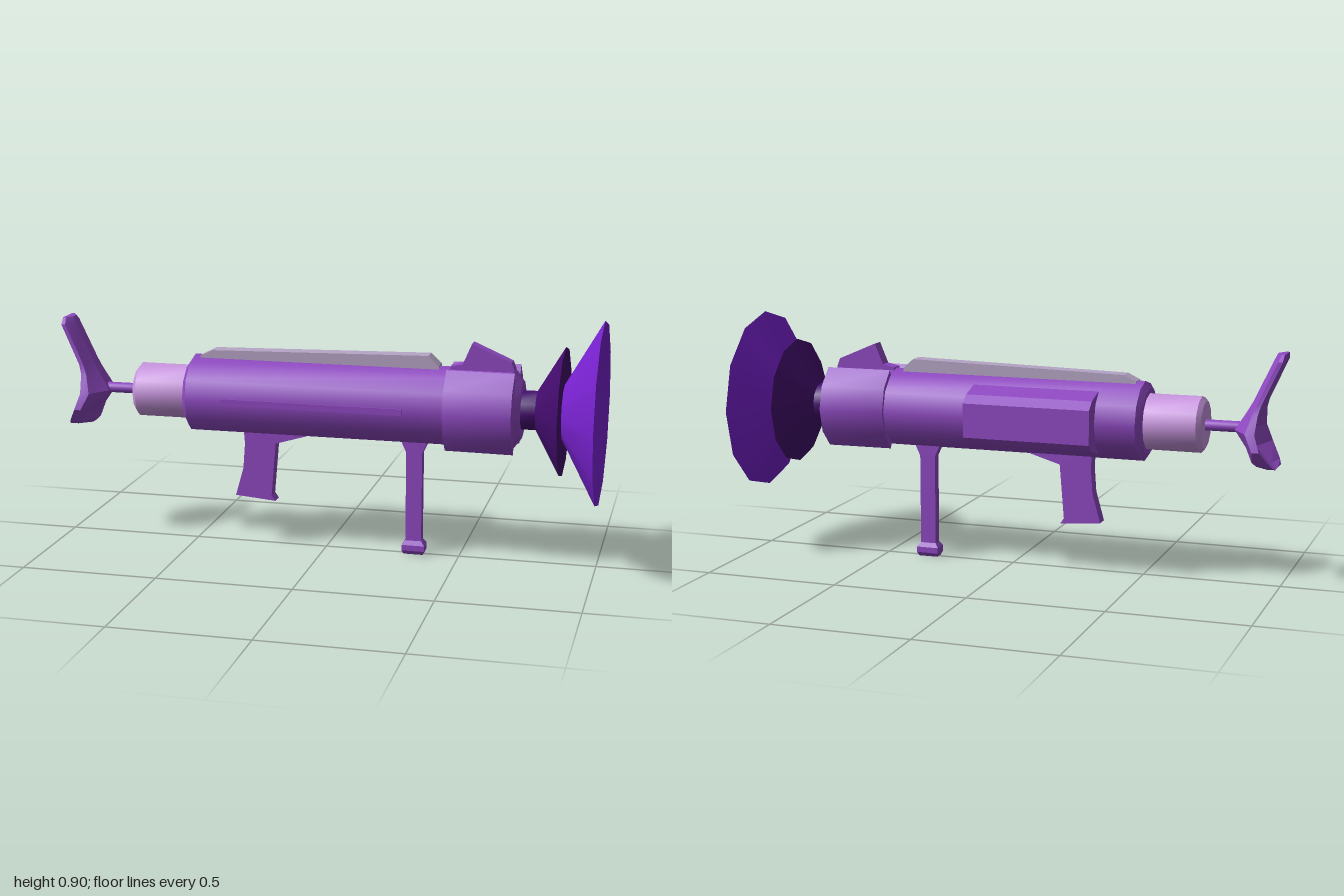
import * as THREE from 'three';
import { toCreasedNormals } from 'three/addons/utils/BufferGeometryUtils.js';

const AXIS_Y = 0.565;

export function createModel() {
  const model = new THREE.Group();
  model.name = 'launcher';

  const material = (name, color) => {
    const m = new THREE.MeshStandardMaterial({ color });
    m.name = name;
    return m;
  };
  const purple = material('body purple', 0x8f49c2);
  const violet = material('bell violet', 0x7a22d2);
  const indigo = material('dark indigo', 0x440c6e);
  const pink = material('pale orchid', 0xc996e0);
  const grey = material('lavender grey', 0xb6a5c6);

  const add = (name, geometry, mat, crease = 0.6) => {
    const mesh = new THREE.Mesh(toCreasedNormals(geometry, crease), mat);
    mesh.name = name;
    model.add(mesh);
    return mesh;
  };

  // Twelve-sided turned part along x; profile holds [x, radius] pairs
  const turned = (name, profile, mat) => {
    const g = new THREE.LatheGeometry(profile.map(([x, r]) => new THREE.Vector2(r, x)), 12);
    g.rotateZ(-Math.PI / 2);
    g.translate(0, AXIS_Y, 0);
    return add(name, g, mat);
  };

  // Side-profile plate, [x, y] pairs, centred on z = 0
  const plate = (name, points, halfWidth, mat) => {
    const shape = new THREE.Shape(points.map(([x, y]) => new THREE.Vector2(x, y)));
    const g = new THREE.ExtrudeGeometry(shape, { depth: halfWidth * 2, bevelEnabled: false });
    g.translate(0, 0, -halfWidth);
    return add(name, g, mat, 0.3);
  };

  // Cross-section of [z, y - axis] pairs pushed along x
  const along = (points, x0, x1) => {
    const shape = new THREE.Shape(points.map(([z, y]) => new THREE.Vector2(-z, y)));
    const g = new THREE.ExtrudeGeometry(shape, { depth: x1 - x0, bevelEnabled: false });
    g.rotateY(Math.PI / 2);
    g.translate(x0, 0, 0);
    return g;
  };

  // Tube, rear sleeve and rod
  turned('barrel', [[-0.515, 0], [-0.515, 0.12], [-0.498, 0.145], [0.69, 0.145],
    [0.72, 0.105], [0.72, 0]], purple);
  turned('rearSleeve', [[-0.72, 0], [-0.72, 0.085], [-0.705, 0.102], [-0.5, 0.102]], pink);
  turned('stockRod', [[-0.86, 0.02], [-0.71, 0.02]], purple);

  // Flared muzzle: dark cup with the open bell in front
  turned('muzzleCup', [[0.7, 0.072], [0.772, 0.072], [0.867, 0.235], [0.867, 0.1]], indigo);
  turned('bell', [[0.867, 0.1], [1, 0.335], [0.998, 0.302], [0.885, 0.106]], violet);
  turned('bellCore', [[0.884, 0.107], [0.885, 0]], indigo);

  // Curved collar cheeks on both sides
  for (const side of [1, -1]) {
    const arc = [[0, 0]];
    for (let i = -2; i <= 2; i++) {
      const a = (i * Math.PI) / 6;
      arc.push([side * 0.17 * Math.cos(a), 0.17 * Math.sin(a)]);
    }
    const g = along(arc, 0.455, 0.7);
    const p = g.attributes.position;
    // Slight taper towards the rear end
    for (let i = 0; i < p.count; i++) {
      if (p.getX(i) < 0.5) p.setZ(i, p.getZ(i) * 0.92);
    }
    g.translate(0, AXIS_Y, 0);
    add(side > 0 ? 'leftCheek' : 'rightCheek', g, purple);
  }

  // Side box on the right flank
  const box = along([[-0.09, 0.113], [-0.17, 0.09], [-0.205, 0.062], [-0.205, -0.062],
    [-0.17, -0.09], [-0.09, -0.113]], -0.35, 0.12);
  box.translate(0, AXIS_Y, 0);
  add('sideBox', box, purple, 0.3);

  // Thin strip on the left flank
  const strip = new THREE.BoxGeometry(0.67, 0.024, 0.008);
  strip.translate(-0.025, AXIS_Y, 0.145);
  add('sideStrip', strip, purple);

  // Top rail and sight
  plate('topRail', [[-0.47, 0.69], [0.42, 0.69], [0.42, 0.714], [0.382, 0.75],
    [-0.425, 0.732], [-0.47, 0.71]], 0.03, grey);
  plate('sight', [[0.46, 0.69], [0.69, 0.69], [0.69, 0.712], [0.68, 0.738],
    [0.537, 0.8], [0.505, 0.724], [0.46, 0.714]], 0.025, purple);

  // Rear grip
  plate('rearGrip', [[-0.31, 0.45], [-0.305, 0.385], [-0.312, 0.29], [-0.342, 0.183],
    [-0.19, 0.17], [-0.204, 0.19], [-0.187, 0.39], [-0.07, 0.425], [-0.07, 0.45]], 0.025, purple);

  // Front grip with flared top and knobbed foot
  plate('frontGrip', [[0.303, 0.04], [0.362, 0.04], [0.362, 0.385], [0.378, 0.42],
    [0.378, 0.45], [0.287, 0.45], [0.287, 0.42], [0.303, 0.385]], 0.018, purple);
  const foot = [[0, 0.036, 0.018], [0.015, 0.042, 0.028], [0.036, 0.042, 0.028], [0.052, 0.03, 0.018]];
  add('gripFoot', loft(foot.map(([y, hx, hz]) => [
    [0.333 + hx, y, hz], [0.333 + hx, y, -hz], [0.333 - hx, y, -hz], [0.333 - hx, y, hz]])), purple, 0.3);

  // Hollow shoulder rest: [y, back x, front x, half width, hollow depth]
  const rest = [
    [0.43, -0.98, -0.905, 0.055, 0], [0.445, -0.97, -0.89, 0.085, 0.015],
    [0.5, -0.935, -0.872, 0.13, 0.035], [0.56, -0.915, -0.83, 0.115, 0.04],
    [0.625, -0.92, -0.87, 0.085, 0.025], [0.66, -0.93, -0.89, 0.075, 0.018],
    [0.81, -0.998, -0.96, 0.07, 0.008], [0.832, -1, -0.97, 0.045, 0]];
  add('shoulderRest', loft(rest.map(([y, xb, xf, w, h]) => {
    const xm = xb + (xf - xb) * 0.4;
    return [[xb + h, y, 0], [xb, y, w], [xm, y, w], [xf, y, w * 0.3],
      [xf, y, -w * 0.3], [xm, y, -w], [xb, y, -w]];
  })), purple, 0.35);

  return model;
}

// Closed skin over rings stacked upwards, each anticlockwise seen from above
function loft(rings) {
  const n = rings[0].length;
  const index = [];
  for (let i = 0; i < rings.length - 1; i++) {
    for (let j = 0; j < n; j++) {
      const a = i * n + j;
      const b = i * n + ((j + 1) % n);
      index.push(a, b, b + n, a, b + n, a + n);
    }
  }
  const top = (rings.length - 1) * n;
  for (let j = 1; j < n - 1; j++) {
    index.push(0, j + 1, j, top, top + j, top + j + 1);
  }
  const g = new THREE.BufferGeometry();
  g.setAttribute('position', new THREE.Float32BufferAttribute(rings.flat(2), 3));
  g.setIndex(index);
  return g;
}
